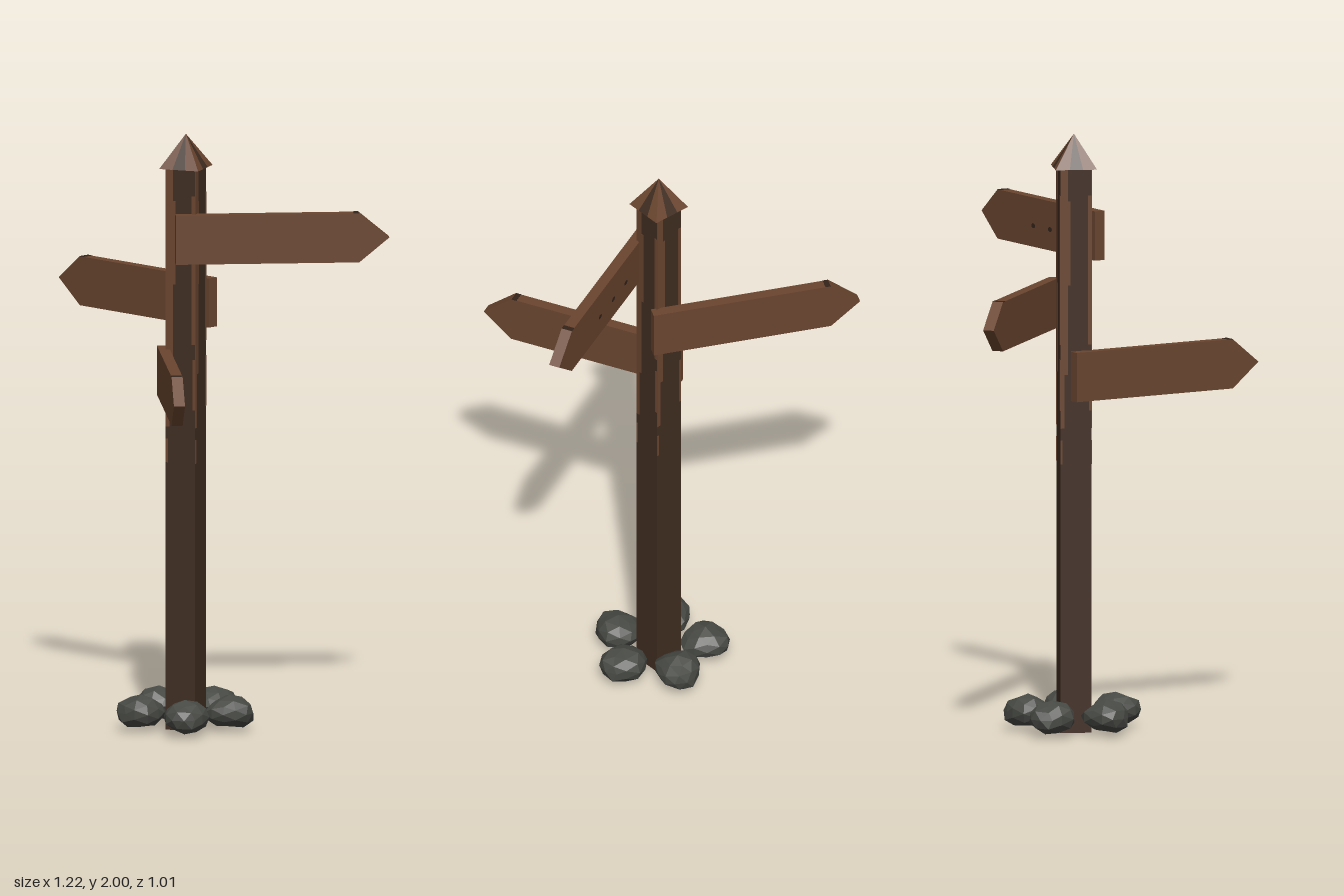
import * as THREE from 'three';

const mat = (name, color) => new THREE.MeshStandardMaterial({ name, color });

export function createModel() {
  const root = new THREE.Group();
  root.name = 'signpost';
  const darkWood = mat('darkWood', 0x402d21);
  const lightWood = mat('lightWood', 0x6a452f);
  const knotWood = mat('knotWood', 0x33231a);
  const stoneGrey = mat('stoneGrey', 0x474944);

  const add = (parent, name, geometry, material, x = 0, y = 0, z = 0) => {
    const mesh = new THREE.Mesh(geometry, material);
    mesh.name = name;
    mesh.position.set(x, y, z);
    parent.add(mesh);
    return mesh;
  };
  const box = (w, h, d) => new THREE.BoxGeometry(w, h, d);

  // Everything around the post shares its off-centre axis
  const core = new THREE.Group();
  core.name = 'postAssembly';
  core.position.set(-0.035, 0, -0.137);
  root.add(core);

  // Square post, with worn paler grain down the edges of each upper side
  const half = 0.052;
  add(core, 'post', box(half * 2, 1.9, half * 2), darkWood, 0, 0.95, 0);
  const streaks = [ // centre across the side, width, bottom, top
    [-0.039, 0.026, 1.2, 1.89], [-0.045, 0.014, 1.02, 1.2], [-0.022, 0.009, 1.5, 1.78],
    [0.046, 0.012, 1.3, 1.8], [0.048, 0.008, 1.08, 1.25], [-0.048, 0.008, 0.9, 0.98],
  ];
  for (let i = 0; i < 4; i++) {
    const side = new THREE.Group();
    side.name = 'postGrain';
    side.rotation.y = i * Math.PI / 2;
    core.add(side);
    for (const [x, w, y0, y1] of streaks)
      add(side, 'grainStreak', box(w, y1 - y0, 0.002), lightWood, x, (y0 + y1) / 2, half + 0.0005);
  }

  // Pyramid cap: pale corners, dark wedge in the middle of each side
  const r = 0.069, low = 1.888, apex = [0, 2, 0];
  const triangles = (points) => {
    const g = new THREE.BufferGeometry();
    g.setAttribute('position', new THREE.Float32BufferAttribute(points.flat(), 3));
    g.computeVertexNormals();
    return g;
  };
  const a = [-r, low, r], b = [-0.022, low, r], c = [0.022, low, r], d = [r, low, r];
  for (let i = 0; i < 4; i++) {
    const side = new THREE.Group();
    side.name = 'capSide';
    side.rotation.y = i * Math.PI / 2;
    core.add(side);
    add(side, 'capCorners', triangles([a, b, apex, c, d, apex]), lightWood);
    add(side, 'capWedge', triangles([b, c, apex]), darkWood);
    add(side, 'capUnderside', triangles([d, a, [0, low, 0]]), darkWood);
  }

  // Pointed boards: start x, start z, middle height, turn in degrees
  const length = 0.71, tip = 0.1, h = 0.0825, thick = 0.037;
  const outline = new THREE.Shape([
    [0, -h], [length - tip, -h], [length, 0], [length - tip, h], [0, h],
  ].map(([x, y]) => new THREE.Vector2(x, y)));
  const boardGeometry = new THREE.ExtrudeGeometry(outline, { depth: thick, bevelEnabled: false });
  boardGeometry.translate(0, 0, -thick / 2);
  const boards = [
    [-0.04, -0.052, 1.6575, 25],
    [0.04, -0.192, 1.4275, 155],
    [-0.122, -0.148, 1.1975, -65],
  ];
  boards.forEach(([x, z, y, turn], i) => {
    const sign = new THREE.Group();
    sign.name = 'sign' + (i + 1);
    sign.position.set(x, y, z);
    sign.rotation.y = THREE.MathUtils.degToRad(turn);
    root.add(sign);
    add(sign, 'board', boardGeometry, lightWood);
    // Dark notch on the top edge by the shoulder
    add(sign, 'shoulderMark', box(0.018, 0.002, thick), knotWood, length - tip - 0.01, h, 0);
    // Knots on the back of the top board
    if (i === 0) {
      for (const k of [0.18, 0.28, 0.385]) {
        const knot = add(sign, 'knot', new THREE.CircleGeometry(0.013, 7), knotWood, k, -0.012, -thick / 2 - 0.001);
        knot.rotation.y = Math.PI;
        knot.scale.y = 0.65;
      }
    }
  });

  // Ring of faceted stones at the foot
  const stoneGeometry = new THREE.IcosahedronGeometry(1, 1);
  const p = stoneGeometry.attributes.position;
  const v = new THREE.Vector3();
  for (let i = 0; i < p.count; i++) {
    // Uneven radius, the same for every copy of a corner
    v.fromBufferAttribute(p, i);
    const n = Math.sin(Math.round(v.x * 50) * 1.7 + Math.round(v.y * 50) * 2.3 + Math.round(v.z * 50) * 3.1);
    v.multiplyScalar(0.97 + 0.09 * n);
    p.setXYZ(i, v.x, v.y, v.z);
  }
  stoneGeometry.computeVertexNormals();
  for (let i = 0; i < 5; i++) {
    const angle = THREE.MathUtils.degToRad(-1 + i * 72);
    const stone = add(core, 'stone', stoneGeometry, stoneGrey,
      Math.cos(angle) * 0.155, 0.063, Math.sin(angle) * 0.155);
    stone.scale.set(0.086, 0.055, 0.078);
    stone.rotation.y = -angle;
  }
  return root;
}
